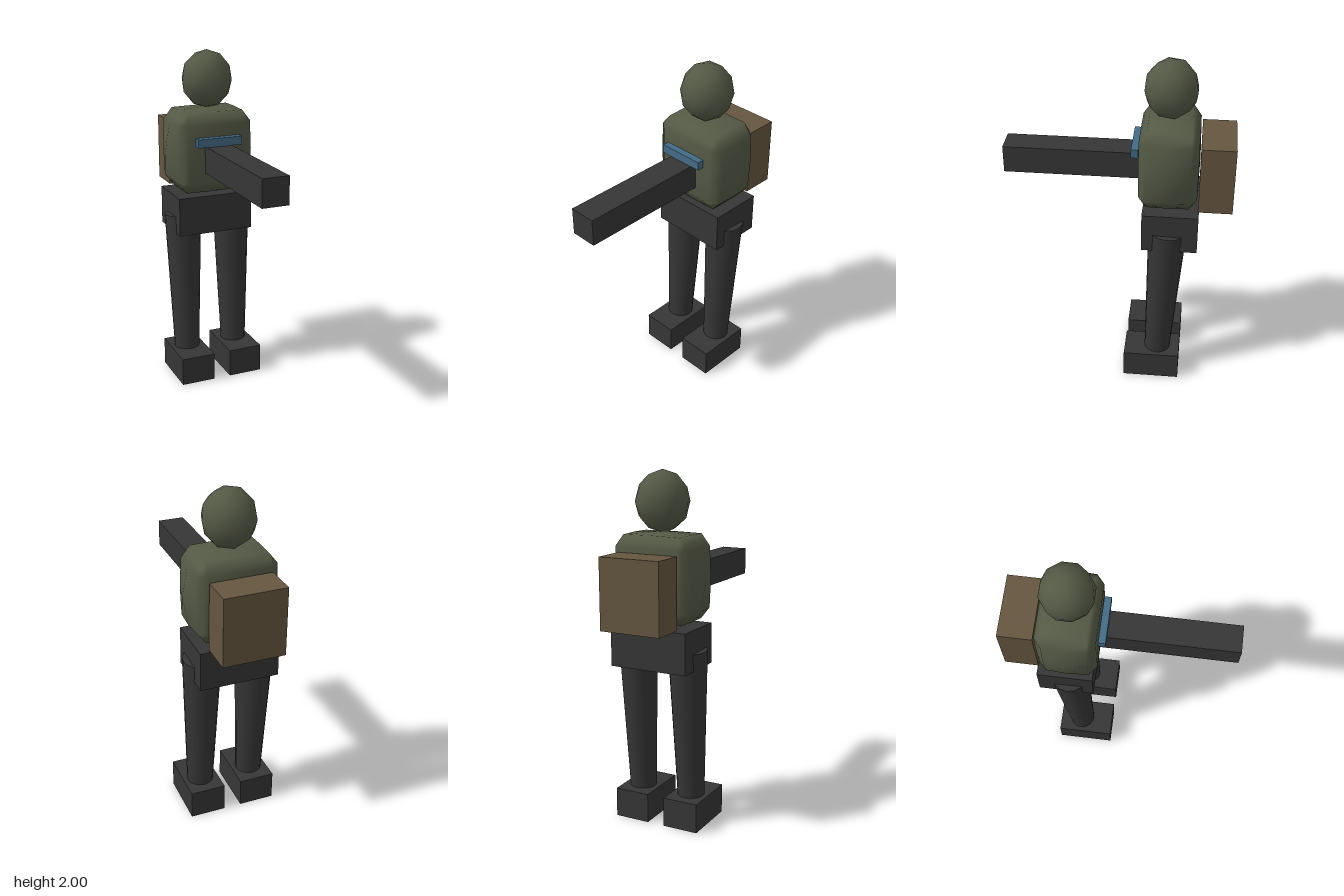
import * as THREE from 'three';
import { mergeVertices } from 'three/addons/utils/BufferGeometryUtils.js';

const flat = (name, color) => {
  const m = new THREE.MeshStandardMaterial({ color });
  m.name = name;
  return m;
};

// Box given by its minimum and maximum corners
function block(name, material, [x0, y0, z0], [x1, y1, z1]) {
  const mesh = new THREE.Mesh(new THREE.BoxGeometry(x1 - x0, y1 - y0, z1 - z0), material);
  mesh.position.set((x0 + x1) / 2, (y0 + y1) / 2, (z0 + z1) / 2);
  mesh.name = name;
  return mesh;
}

// Bevelled, gently inflated box with smooth normals
function torsoGeometry() {
  const box = new THREE.BoxGeometry(4, 4, 4, 4, 4, 4);
  box.deleteAttribute('normal');
  box.deleteAttribute('uv');
  const geometry = mergeVertices(box);
  const outer = [0.226, 0.235, 0.163]; // face planes
  const inset = [0.175, 0.17, 0.12]; // where the bevels begin
  const bulge = [0.037, 0.015, 0.006]; // extra at each face centre
  const pos = geometry.attributes.position;
  for (let i = 0; i < pos.count; i++) {
    const p = [pos.getX(i), pos.getY(i), pos.getZ(i)].map(Math.round);
    const faces = p.filter((c) => Math.abs(c) === 2).length;
    const offCentre = p.filter((c) => Math.abs(c) === 1).length;
    const out = p.map((c, a) => {
      const k = Math.abs(c);
      if (k < 2) return Math.sign(c) * k * inset[a];
      let d = inset[a] + (outer[a] - inset[a]) / faces;
      if (faces === 1) d += bulge[a] * [1, 0.2, 0][offCentre];
      return Math.sign(c) * d;
    });
    pos.setXYZ(i, ...out);
  }
  geometry.computeVertexNormals();
  return geometry;
}

export function createModel() {
  const model = new THREE.Group();
  model.name = 'figure';
  const olive = flat('olive', 0x555a46);
  const dark = flat('charcoal', 0x363636);
  const brown = flat('brown', 0x655640);
  const blue = flat('blue', 0x446c86);

  // Head: faceted ball with a corner at the crown
  const ball = new THREE.IcosahedronGeometry(1, 1);
  ball.rotateX(-Math.atan((1 + Math.sqrt(5)) / 2));
  const head = new THREE.Mesh(ball, olive);
  head.scale.set(0.15, 0.17, 0.15);
  head.position.set(0, 1.83, -0.28);
  head.name = 'head';
  model.add(head);

  // Torso
  const torso = new THREE.Mesh(torsoGeometry(), olive);
  torso.position.set(0, 1.42, -0.283);
  torso.name = 'torso';
  model.add(torso);

  // Boxy parts
  model.add(
    block('pelvis', dark, [-0.23, 0.93, -0.46], [0.23, 1.16, -0.145]),
    block('backpack', brown, [-0.178, 1.17, -0.645], [0.178, 1.565, -0.455]),
    block('chestBarrel', dark, [-0.078, 1.31, -0.14], [0.078, 1.468, 0.645]),
    block('chestBar', blue, [-0.135, 1.47, -0.115], [0.135, 1.52, -0.075])
  );

  // Legs and feet
  for (const [side, s] of [['left', 1], ['right', -1]]) {
    const leg = new THREE.Mesh(new THREE.CylinderGeometry(0.11, 0.077, 0.86, 16), dark);
    leg.position.set(s * 0.157, 0.6, -0.27);
    leg.rotation.x = -Math.atan(0.04 / 0.86);
    leg.name = side + 'Leg';
    const foot = block(side + 'Foot', dark, [-0.104, 0, -0.385], [0.104, 0.17, -0.053]);
    foot.position.x = s * 0.156;
    model.add(leg, foot);
  }
  return model;
}
